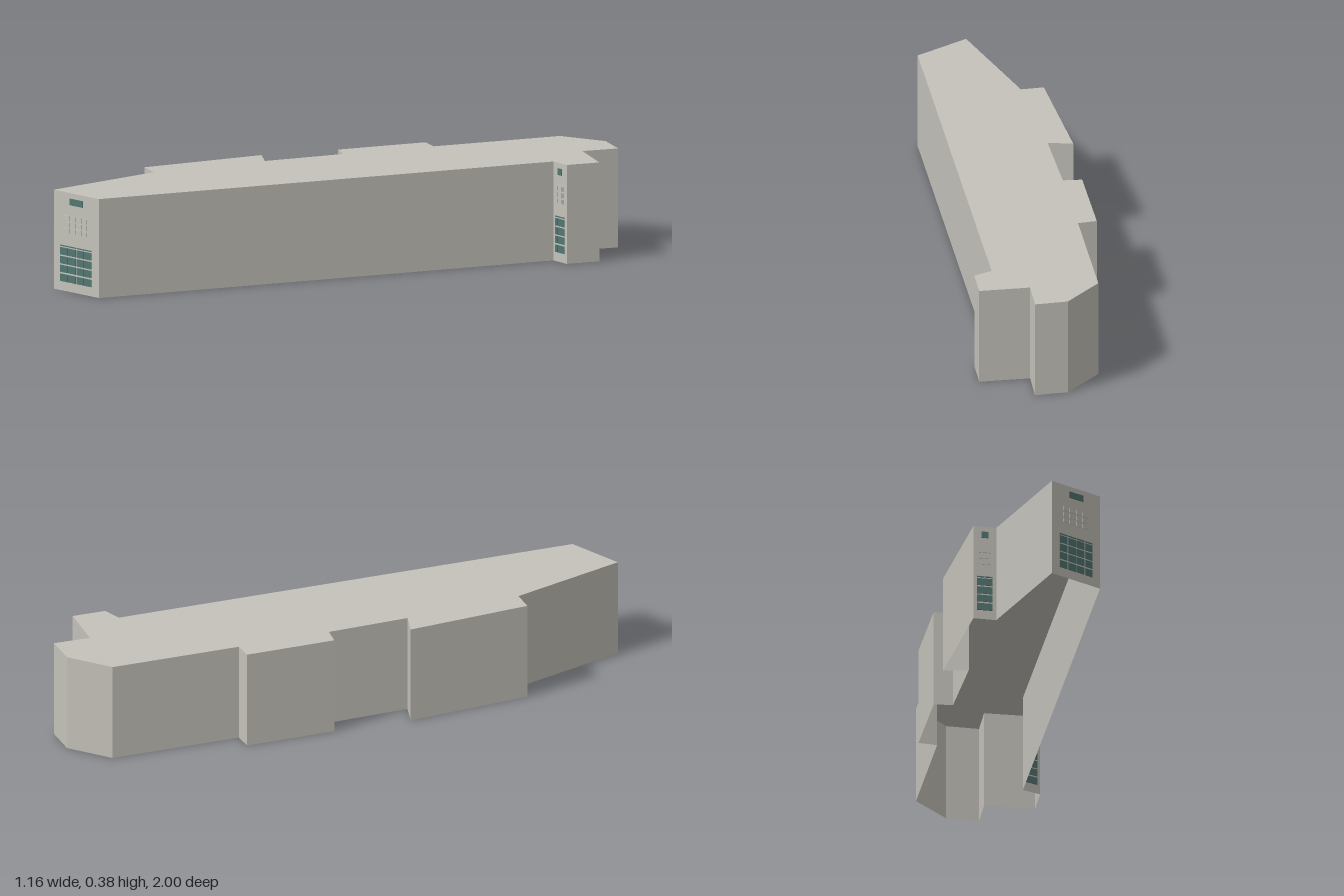
import * as THREE from 'three';
import { mergeGeometries } from 'three/addons/utils/BufferGeometryUtils.js';

const HEIGHT = 0.38;

// Footprint corners (x, z), clockwise seen from above
const FOOTPRINT = [
  [0.175, -0.94], [0.355, -1.0], [0.47, -0.95], [0.405, -0.825],
  [0.578, -0.74], [0.52, -0.625], [0.445, -0.63], [-0.343, 0.99],
  [-0.57, 1.0], [-0.5, 0.54], [-0.58, 0.505], [-0.405, 0.06],
  [-0.33, 0.12], [-0.2, -0.167], [-0.263, -0.203], [-0.113, -0.515],
  [-0.045, -0.49],
];

const material = (name, color, extra = {}) => {
  const m = new THREE.MeshStandardMaterial({ color, ...extra });
  m.name = name;
  return m;
};

// One flat quad per footprint edge, open at the bottom
function wallGeometry() {
  const pos = [];
  FOOTPRINT.forEach(([ax, az], i) => {
    const [bx, bz] = FOOTPRINT[(i + 1) % FOOTPRINT.length];
    pos.push(bx, 0, bz, ax, 0, az, ax, HEIGHT, az);
    pos.push(bx, 0, bz, ax, HEIGHT, az, bx, HEIGHT, bz);
  });
  const g = new THREE.BufferGeometry();
  g.setAttribute('position', new THREE.Float32BufferAttribute(pos, 3));
  g.computeVertexNormals();
  return g;
}

function roofGeometry() {
  const shape = new THREE.Shape(FOOTPRINT.map(([x, z]) => new THREE.Vector2(x, -z)));
  return new THREE.ShapeGeometry(shape).rotateX(-Math.PI / 2).translate(0, HEIGHT, 0);
}

// Thin plates filling every column (fraction of width) and row (height)
function panes(columns, rows, width, depth) {
  const parts = [];
  for (const [u0, u1] of columns) {
    for (const [y0, y1] of rows) {
      const g = new THREE.BoxGeometry((u1 - u0) * width, y1 - y0, depth);
      parts.push(g.translate(((u0 + u1) / 2) * width, (y0 + y1) / 2, depth / 2));
    }
  }
  return mergeGeometries(parts);
}

const WINDOW_COLUMNS = [[0.154, 0.318], [0.331, 0.497], [0.51, 0.667], [0.685, 0.837]];
const WINDOW_ROWS = [[0.036, 0.064], [0.071, 0.098], [0.104, 0.132], [0.138, 0.166], [0.171, 0.175]];
const VENT_COLUMNS = [0, 1, 2, 3].map((i) => [0.24 + i * 0.13, 0.35 + i * 0.13]);
const VENT_ROWS = [0, 1, 2].map((i) => [0.225 + i * 0.024, 0.243 + i * 0.024]);

// Glazing and vent tiles on the wall that starts at the given corner
function facade(edge, wallMat, glassMat) {
  const [ax, az] = FOOTPRINT[edge];
  const [bx, bz] = FOOTPRINT[edge + 1];
  const width = Math.hypot(ax - bx, az - bz);
  const group = new THREE.Group();
  group.name = 'windowFacade';
  const add = (name, geometry, mat) => {
    const mesh = new THREE.Mesh(geometry, mat);
    mesh.name = name;
    group.add(mesh);
  };
  add('windowGrid', panes(WINDOW_COLUMNS, WINDOW_ROWS, width, 0.003), glassMat);
  add('upperWindow', panes([[0.36, 0.645]], [[0.334, 0.359]], width, 0.003), glassMat);
  add('ventTiles', panes(VENT_COLUMNS, VENT_ROWS, width, 0.003), wallMat);
  group.position.set(bx, 0, bz);
  group.rotation.y = Math.atan2(bz - az, ax - bx);
  return group;
}

export function createModel() {
  const concrete = material('concrete', 0xc4c2ba, { side: THREE.DoubleSide });
  const glass = material('teal glass', 0x537672);
  const model = new THREE.Group();
  model.name = 'building';

  const walls = new THREE.Mesh(wallGeometry(), concrete);
  walls.name = 'walls';
  const roof = new THREE.Mesh(roofGeometry(), concrete);
  roof.name = 'roof';
  model.add(walls, roof);

  // Front end, rear wing and side step carry the glazing
  for (const edge of [7, 5, 9]) model.add(facade(edge, concrete, glass));
  return model;
}
